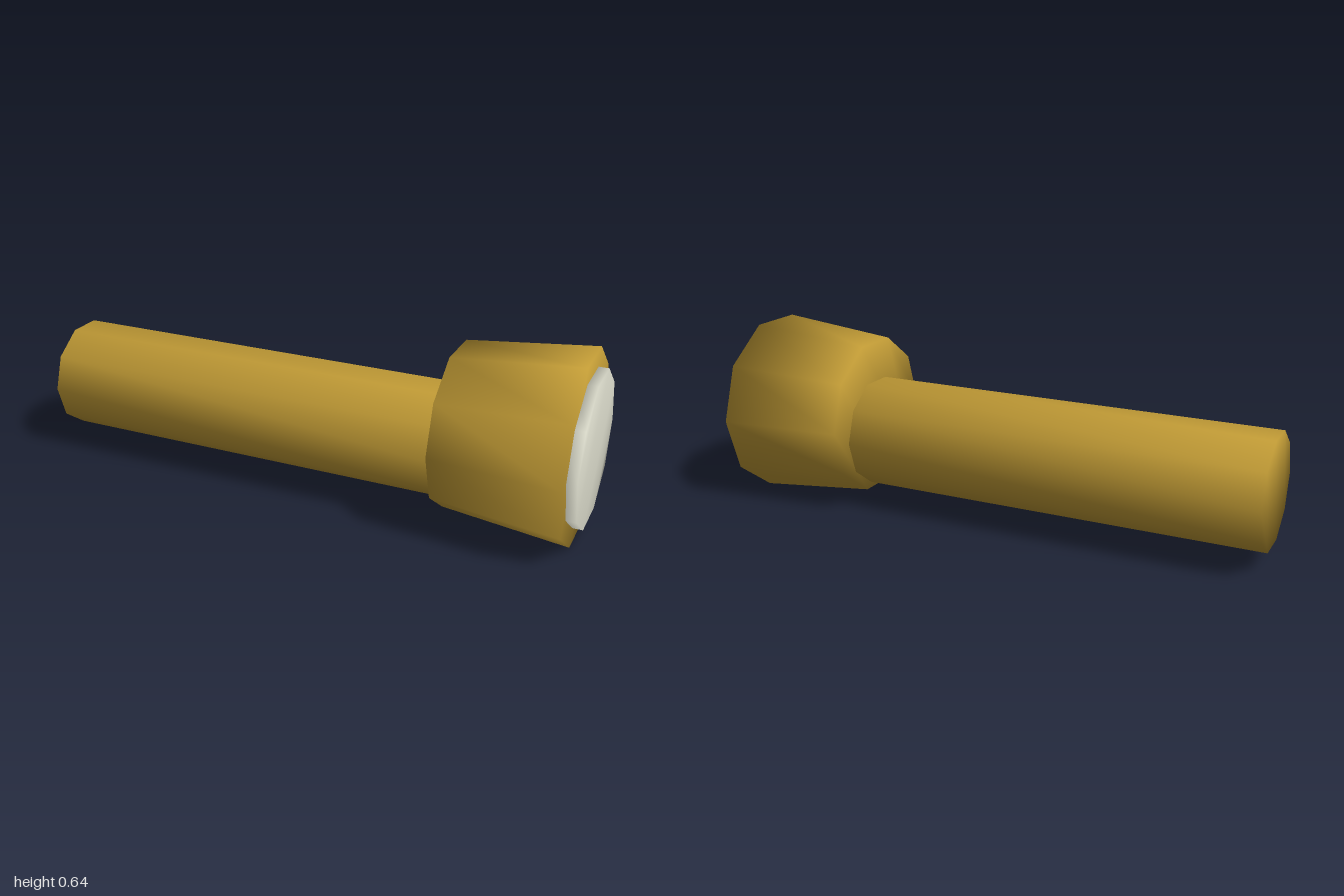
import * as THREE from 'three';

const SIDES = 10;

// Closed ten-sided tube along x with smooth shared normals; sections are [x, radius].
function loft(sections) {
  const pos = [], idx = [];
  for (const [x, r] of sections) {
    for (let i = 0; i < SIDES; i++) {
      const a = Math.PI / 2 + (i * 2 * Math.PI) / SIDES;
      pos.push(x, r * Math.cos(a), r * Math.sin(a));
    }
  }
  // side walls
  for (let s = 0; s < sections.length - 1; s++) {
    for (let i = 0; i < SIDES; i++) {
      const j = (i + 1) % SIDES;
      const a = s * SIDES + i, b = s * SIDES + j;
      idx.push(a, b, b + SIDES, a, b + SIDES, a + SIDES);
    }
  }
  // end caps, cut into diagonal strips
  const cap = (base, flip) => {
    const v = (i) => base + ((i + 2 * SIDES) % SIDES);
    const tri = (a, b, c) => (flip ? idx.push(a, c, b) : idx.push(a, b, c));
    const k = SIDES - 1, half = SIDES / 2;
    for (let j = 0; j < half; j++) {
      if (j > 0) tri(v(k - j), v(k + j), v(k + j + 1));
      if (j < half - 1) tri(v(k - j), v(k + j + 1), v(k - j - 1));
    }
  };
  cap(0, true);
  cap((sections.length - 1) * SIDES, false);

  const g = new THREE.BufferGeometry();
  g.setAttribute('position', new THREE.Float32BufferAttribute(pos, 3));
  g.setIndex(idx);
  g.computeVertexNormals();
  return g;
}

export function createModel() {
  const group = new THREE.Group();
  group.name = 'flashlight';

  const gold = new THREE.MeshStandardMaterial({ color: 0xc09a35 });
  gold.name = 'gold casing';
  const white = new THREE.MeshStandardMaterial({ color: 0xdcdccc });
  white.name = 'pale lens';

  const add = (name, sections, y, material) => {
    const mesh = new THREE.Mesh(loft(sections), material);
    mesh.name = name;
    mesh.position.y = y;
    group.add(mesh);
  };

  add('handle', [[-1, 0.202], [0.52, 0.202]], 0.258, gold);
  add('head', [[0.515, 0.291], [0.965, 0.337]], 0.321, gold);
  add('lens', [[0.93, 0.27], [1, 0.27]], 0.321, white);

  return group;
}
